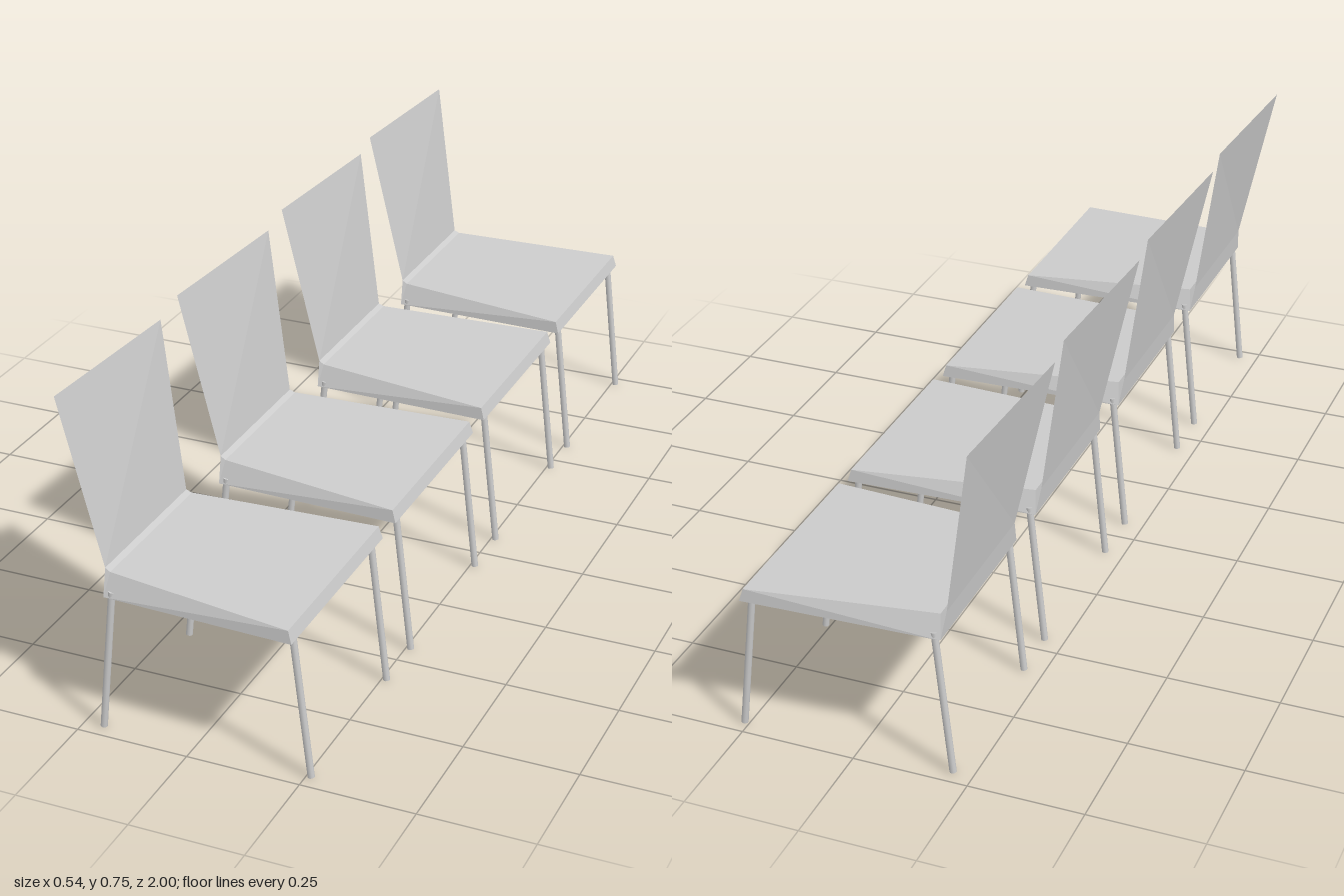
import * as THREE from 'three';

const sheetMaterial = new THREE.MeshStandardMaterial({ color: 0xcccccc, flatShading: true, side: THREE.DoubleSide });
const legMaterial = new THREE.MeshStandardMaterial({ color: 0xcccccc });

// Thin sheet made of four-cornered panels; each is split along its first-to-third corner.
function sheet(name, panels) {
  const points = [];
  for (const [a, b, c, d] of panels) points.push(...a, ...b, ...c, ...a, ...c, ...d);
  const geometry = new THREE.BufferGeometry();
  geometry.setAttribute('position', new THREE.Float32BufferAttribute(points, 3));
  geometry.computeVertexNormals();
  const mesh = new THREE.Mesh(geometry, sheetMaterial);
  mesh.name = name;
  return mesh;
}

// Round leg between two points
function leg(name, top, foot) {
  const a = new THREE.Vector3(...foot), b = new THREE.Vector3(...top);
  const mesh = new THREE.Mesh(new THREE.CylinderGeometry(0.0075, 0.0075, a.distanceTo(b), 10), legMaterial);
  mesh.position.copy(a).add(b).multiplyScalar(0.5);
  mesh.quaternion.setFromUnitVectors(new THREE.Vector3(0, 1, 0), b.sub(a).normalize());
  mesh.name = name;
  return mesh;
}

// Chair facing +x
function chair() {
  const group = new THREE.Group();
  // A crosswise edge: its +z corner and its -z corner
  const edge = (x, y, half) => [[x, y, half], [x, y, -half]];
  const frontTop = edge(0.23, 0.35, 0.223);
  const frontLow = edge(0.238, 0.322, 0.226);
  const rearTop = edge(-0.18, 0.364, 0.18);
  const rearLow = edge(-0.187, 0.315, 0.2);
  const fold = edge(-0.192, 0.37, 0.178);
  const backTop = [[-0.27, 0.747, 0.203], [-0.25, 0.743, -0.203]];

  // Seat shell, open underneath, with a skirt around it
  group.add(sheet('seat', [
    [frontTop[0], frontTop[1], rearTop[1], rearTop[0]],
    [rearTop[0], rearTop[1], fold[1], fold[0]],
    [frontLow[0], frontLow[1], frontTop[1], frontTop[0]],
    [rearLow[0], frontLow[0], frontTop[0], rearTop[0]],
    [rearLow[1], rearTop[1], frontTop[1], frontLow[1]],
    [rearLow[0], rearTop[0], fold[0], fold[0]],
    [rearLow[1], fold[1], rearTop[1], rearTop[1]],
  ]));

  // Slightly twisted backrest that folds down behind the seat
  group.add(sheet('backrest', [
    [fold[0], fold[1], backTop[1], backTop[0]],
    [rearLow[0], rearLow[1], fold[1], fold[0]],
  ]));

  // Splayed legs
  for (const [side, z] of [['Left', -0.193], ['Right', 0.193]]) {
    group.add(leg('frontLeg' + side, [0.225, 0.328, z], [0.261, 0.001, z]));
    group.add(leg('rearLeg' + side, [-0.171, 0.328, z], [-0.206, 0.001, z]));
  }
  return group;
}

export function createModel() {
  const model = new THREE.Group();
  model.name = 'chairRow';
  [-0.774, -0.266, 0.254, 0.774].forEach((z, i) => {
    const c = chair();
    c.name = 'chair' + (i + 1);
    c.position.z = z;
    model.add(c);
  });
  return model;
}
